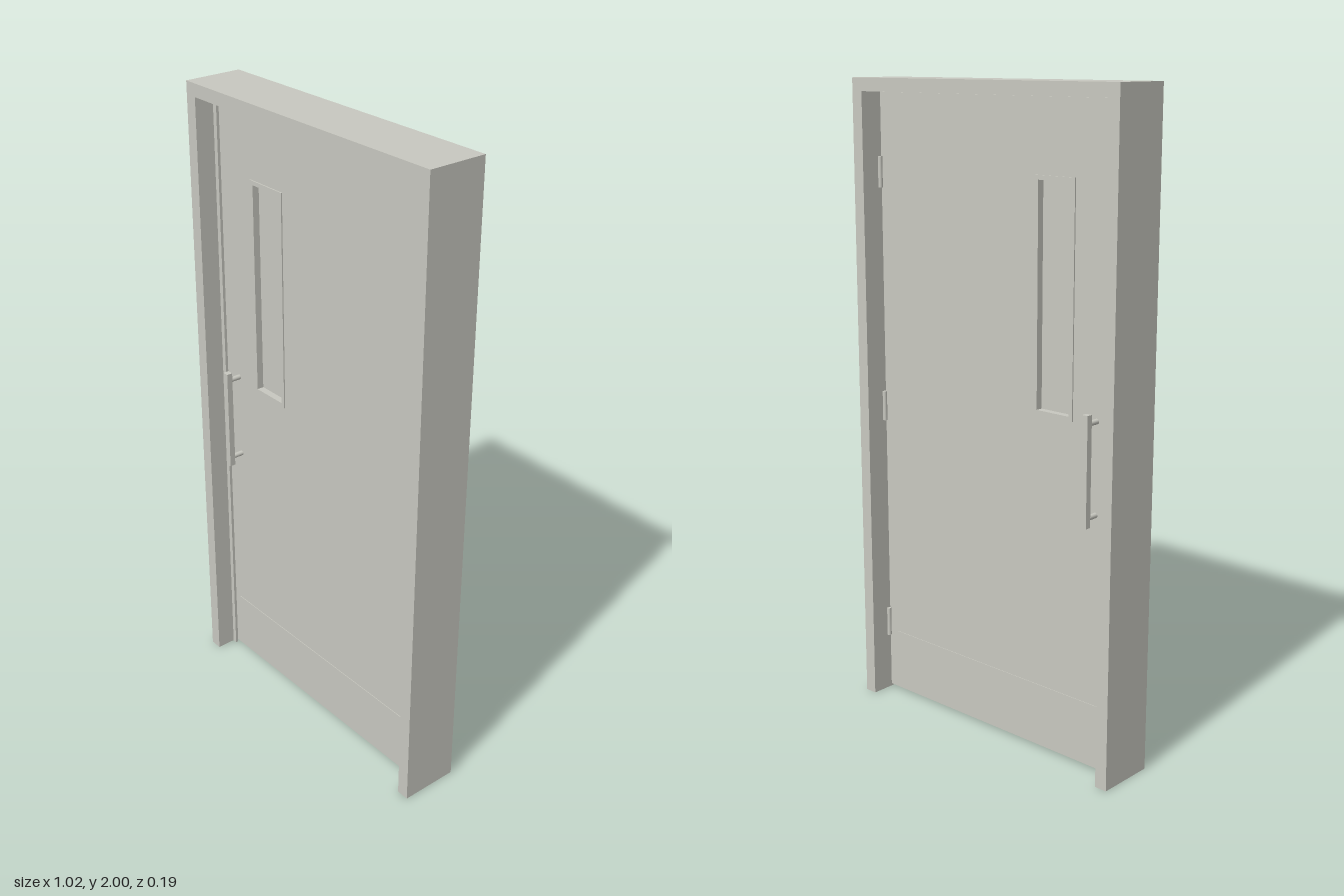
import * as THREE from 'three';

const grey = new THREE.MeshStandardMaterial({ color: 0xc8c8c0 });
grey.name = 'painted grey';

// rectangle outline as points or as a path
function rectPoints(x0, y0, x1, y1) {
  return [[x0, y0], [x1, y0], [x1, y1], [x0, y1]].map(([x, y]) => new THREE.Vector2(x, y));
}

// U-shaped surround, open at the floor
function archShape(outerX, outerY, innerX, innerY) {
  return new THREE.Shape([
    [-outerX, 0], [-innerX, 0], [-innerX, innerY], [innerX, innerY],
    [innerX, 0], [outerX, 0], [outerX, outerY], [-outerX, outerY],
  ].map(([x, y]) => new THREE.Vector2(x, y)));
}

export function createModel() {
  const model = new THREE.Group();
  model.name = 'door';

  function add(name, geometry, parent = model) {
    const mesh = new THREE.Mesh(geometry, grey);
    mesh.name = name;
    parent.add(mesh);
    return mesh;
  }
  function slab(name, shape, z0, z1, parent) {
    const geometry = new THREE.ExtrudeGeometry(shape, { depth: z1 - z0, bevelEnabled: false });
    geometry.translate(0, 0, z0);
    return add(name, geometry, parent);
  }
  function box(name, x0, x1, y0, y1, z0, z1, parent) {
    const geometry = new THREE.BoxGeometry(x1 - x0, y1 - y0, z1 - z0);
    geometry.translate((x0 + x1) / 2, (y0 + y1) / 2, (z0 + z1) / 2);
    return add(name, geometry, parent);
  }

  const doorBack = -0.02, doorFront = 0.022;
  const doorMid = (doorBack + doorFront) / 2;
  const half = (doorFront - doorBack) / 2;

  // surround and the stop the leaf closes against
  slab('frame', archShape(0.51, 2, 0.47, 1.96), -0.093, 0.093);
  slab('doorStop', archShape(0.47, 1.96, 0.455, 1.945), doorFront, 0.031);

  // leaf with a narrow window opening
  const leafShape = new THREE.Shape(rectPoints(-0.467, 0.01, 0.467, 1.957));
  const opening = rectPoints(-0.295, 1.07, -0.175, 1.73);
  leafShape.holes.push(new THREE.Path(opening));
  slab('leaf', leafShape, doorBack, doorFront);
  box('windowPane', -0.295, -0.175, 1.07, 1.73, doorMid - 0.003, doorMid + 0.003);

  // fittings repeated on both faces
  for (const side of [1, -1]) {
    const fittings = new THREE.Group();
    fittings.name = side > 0 ? 'frontFittings' : 'backFittings';
    fittings.position.z = doorMid;
    model.add(fittings);
    const span = (a, b) => (side > 0 ? [a, b] : [-b, -a]);

    // window trim
    const trim = new THREE.Shape(rectPoints(-0.308, 1.057, -0.162, 1.743));
    trim.holes.push(new THREE.Path(opening));
    slab('windowTrim', trim, ...span(half, half + 0.004), fittings);

    // kick plate
    box('kickPlate', -0.43, 0.43, 0.015, 0.21, ...span(half, half + 0.002), fittings);

    // pull handle on two round posts
    box('handleBar', -0.405, -0.385, 0.77, 1.1, ...span(0.056, 0.075), fittings);
    for (const y of [0.797, 1.073]) {
      const post = new THREE.CylinderGeometry(0.008, 0.008, 0.058 - half, 16);
      post.rotateX(Math.PI / 2);
      post.translate(-0.395, y, side * (0.058 + half) / 2);
      add('handlePost', post, fittings);
    }
  }

  // hinges along the left edge, on the back
  for (const y of [0.237, 0.977, 1.717]) {
    const hinge = new THREE.Group();
    hinge.name = 'hinge';
    model.add(hinge);
    const barrel = new THREE.CylinderGeometry(0.007, 0.007, 0.095, 16);
    barrel.translate(0.466, y, doorBack - 0.006);
    add('hingeBarrel', barrel, hinge);
  }

  return model;
}
